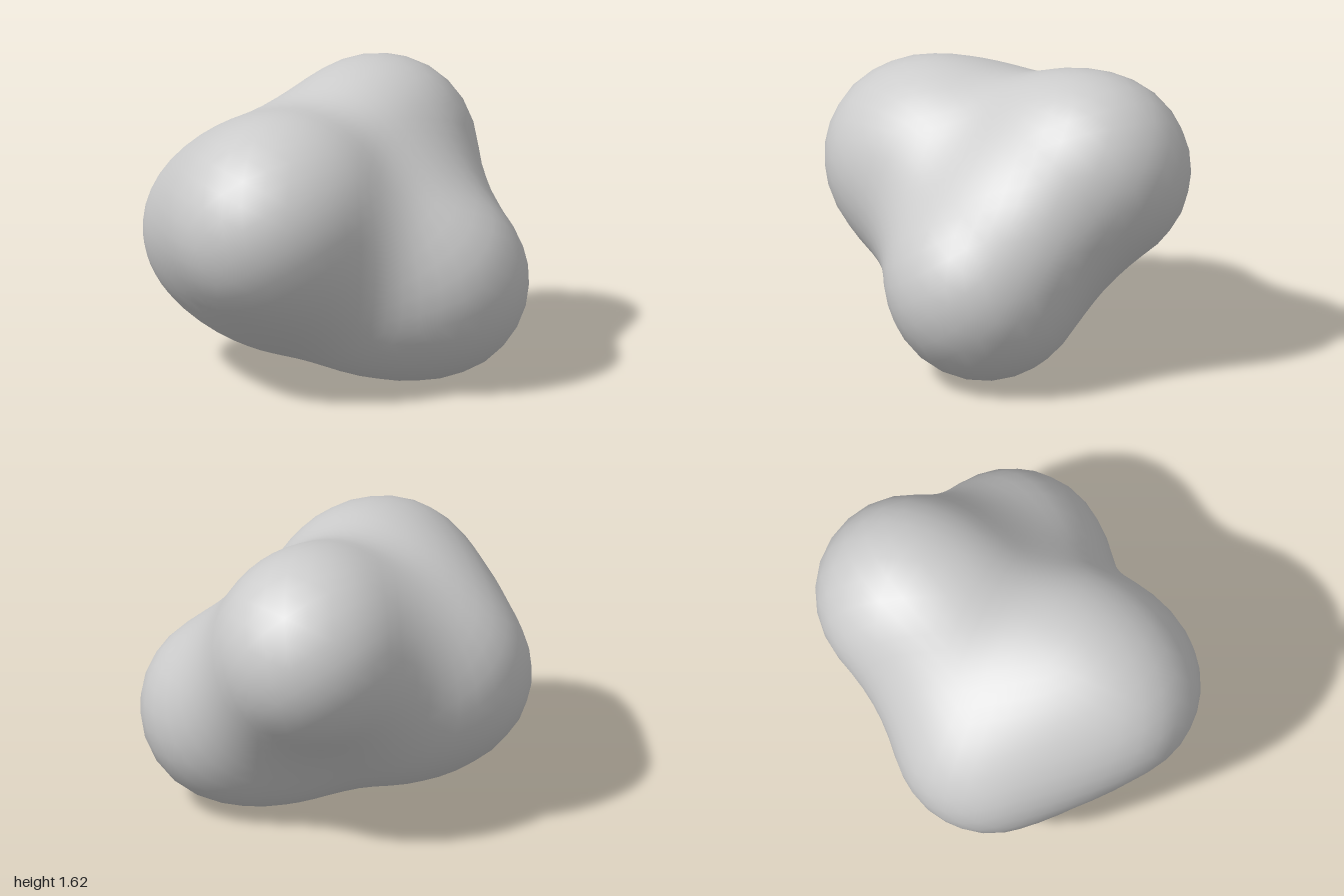
import * as THREE from 'three';
import { mergeVertices } from 'three/addons/utils/BufferGeometryUtils.js';

// Lobes that melt together: centre and strength
const lobes = [
  [0.47, 1.1, -0.31, 1],      // upper back
  [0.48, 0.543, 0.325, 1],    // lower front
  [-0.48, 0.958, 0.29, 1],    // side front
  [-0.36, 0.76, -0.345, 0.9], // side back
  [-0.02, 0.5, 0.03, 0.5],    // belly filling
  [-0.03, 1.05, 0.03, 0.45],  // upper filling
  [-0.1, 0.76, 0.2, 0.25],    // front filling
  [0.05, 0.85, -0.25, 0.15],  // back filling
].map(([x, y, z, strength]) => ({ centre: new THREE.Vector3(x, y, z), strength }));
const REACH_SQ = 0.9;
const LEVEL = 0.34;

// Each lobe fades smoothly to nothing at its reach
const field = (p) => lobes.reduce((sum, { centre, strength }) =>
  sum + strength * Math.max(0, 1 - p.distanceToSquared(centre) / REACH_SQ) ** 3, 0);

// Push a sphere's vertices out to the level surface of the blended lobes
function blobGeometry() {
  let geo = new THREE.IcosahedronGeometry(1, 9);
  geo.deleteAttribute('uv');
  geo.deleteAttribute('normal');
  geo = mergeVertices(geo, 1e-4);
  const core = new THREE.Vector3(0.03, 0.82, 0);
  const pos = geo.attributes.position;
  const dir = new THREE.Vector3();
  const p = new THREE.Vector3();
  for (let i = 0; i < pos.count; i++) {
    dir.fromBufferAttribute(pos, i).normalize();
    let near = 0, far = 2;
    for (let k = 0; k < 30; k++) {
      const mid = (near + far) / 2;
      p.copy(core).addScaledVector(dir, mid);
      if (field(p) > LEVEL) near = mid; else far = mid;
    }
    pos.setXYZ(i, p.x, p.y, p.z);
  }
  geo.computeVertexNormals();
  return geo;
}

export function createModel() {
  const group = new THREE.Group();
  group.name = 'lumpyBlob';
  const grey = new THREE.MeshStandardMaterial({ color: 0xcccccc });
  grey.name = 'light grey';
  const body = new THREE.Mesh(blobGeometry(), grey);
  body.name = 'body';
  group.add(body);
  return group;
}
